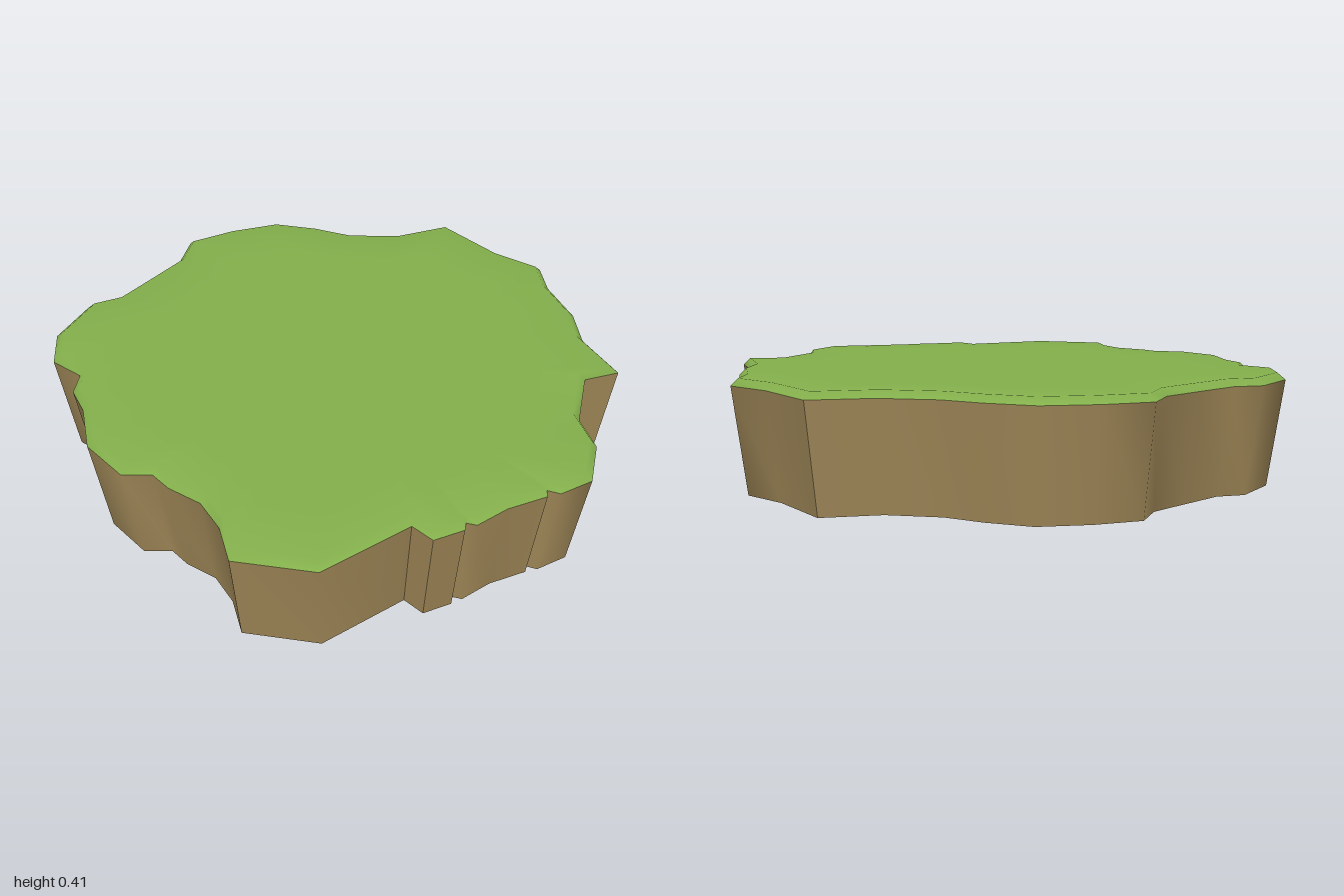
import * as THREE from 'three';
import { toCreasedNormals } from 'three/addons/utils/BufferGeometryUtils.js';

// Ragged outline as x, z pairs: back, right (+x), front, left
const OUTLINE = [
  -0.16, -1, 0.02, -0.995, 0.21, -0.955, 0.34, -0.84, 0.44, -0.72, 0.615, -0.615,
  0.835, -0.58, 0.9, -0.3, 0.985, -0.13, 0.93, 0, 0.9, 0.2, 0.83, 0.35,
  0.82, 0.57, 0.69, 0.545, 0.53, 0.72, 0.495, 0.86, 0.375, 0.99, 0.25, 0.99,
  0.22, 0.955, 0.205, 0.98, 0.06, 0.965, -0.065, 0.98, -0.09, 0.955, -0.11, 0.98,
  -0.22, 0.97, -0.245, 0.885, -0.59, 0.92, -0.805, 0.745, -0.77, 0.6, -0.775, 0.47,
  -0.835, 0.355, -0.855, 0.27, -0.945, 0.22, -0.99, 0.03, -0.935, -0.16, -0.93, -0.275,
  -0.875, -0.355, -0.93, -0.48, -0.865, -0.63, -0.695, -0.755, -0.585, -0.745,
  -0.39, -0.83, -0.255, -0.89,
];
const N = OUTLINE.length / 2;

// Bands between scaled copies of the outline; rings are [scale, y] from bottom to top
function loft(rings, capped) {
  const positions = [], index = [];
  for (const [scale, y] of rings) {
    for (let i = 0; i < N; i++) positions.push(OUTLINE[2 * i] * scale, y, OUTLINE[2 * i + 1] * scale);
  }
  for (let r = 0; r < rings.length - 1; r++) {
    for (let i = 0; i < N; i++) {
      const a = r * N + i, b = r * N + (i + 1) % N;
      index.push(a, a + N, b + N, a, b + N, b);
    }
  }
  if (capped) {
    const last = (rings.length - 1) * N, centre = rings.length * N;
    positions.push(0, rings[rings.length - 1][1], 0);
    for (let i = 0; i < N; i++) index.push(centre, last + (i + 1) % N, last + i);
  }
  const geometry = new THREE.BufferGeometry();
  geometry.setAttribute('position', new THREE.Float32BufferAttribute(positions, 3));
  geometry.setIndex(index);
  geometry.computeVertexNormals();
  return geometry;
}

export function createModel() {
  const grass = new THREE.MeshStandardMaterial({ name: 'grass green', color: 0x84b04c, side: THREE.DoubleSide });
  const earth = new THREE.MeshStandardMaterial({ name: 'earth brown', color: 0xa08858, side: THREE.DoubleSide });

  // Tapering earth wall, open underneath
  const wall = new THREE.Mesh(toCreasedNormals(loft([[0.948, 0], [1, 0.38]], false), 0.9), earth);
  wall.name = 'earthWall';

  // Grass top with a bevelled rim
  const top = new THREE.Mesh(loft([[1, 0.38], [0.972, 0.405], [0.75, 0.405]], true), grass);
  top.name = 'grassTop';

  const group = new THREE.Group();
  group.name = 'grassIsland';
  group.add(wall, top);
  return group;
}
